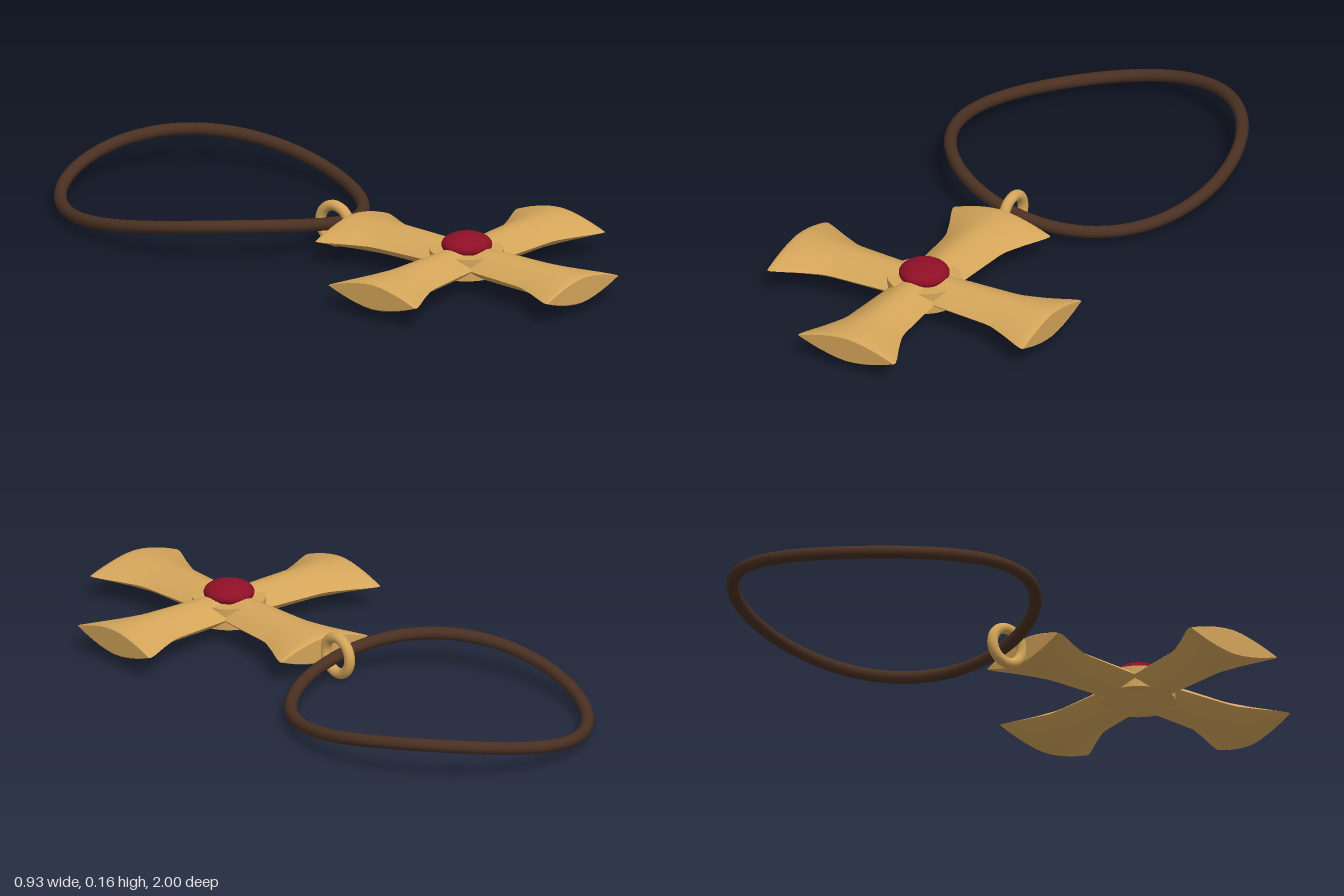
import * as THREE from 'three';
import { toCreasedNormals } from 'three/addons/utils/BufferGeometryUtils.js';

const CENTRE_Y = 0.076, CENTRE_Z = 0.53;

// Flared arm along +z, with a lens-shaped cross-section and a softened tip
function armGeometry() {
  // [distance from centre, half width, half height]
  const stations = [
    [0, 0.086, 0.048], [0.1, 0.09, 0.048], [0.2, 0.097, 0.049], [0.28, 0.103, 0.049],
    [0.31, 0.109, 0.049], [0.37, 0.135, 0.049], [0.43, 0.165, 0.048],
    [0.452, 0.174, 0.046], [0.461, 0.175, 0.043], [0.465, 0.172, 0.039],
  ];
  const sides = 32, pos = [], idx = [];
  for (const [d, w, h] of stations) {
    for (let j = 0; j < sides; j++) {
      const a = (j / sides) * Math.PI * 2, t = Math.cos(a);
      const lens = 1 - Math.pow(Math.abs(t), 1.7);
      pos.push(w * t, h * lens * Math.sign(Math.sin(a)), d);
    }
  }
  const last = stations.length - 1;
  for (let i = 0; i < last; i++) {
    for (let j = 0; j < sides; j++) {
      const k = (j + 1) % sides;
      const a = i * sides + j, b = i * sides + k;
      idx.push(a, b, b + sides, a, b + sides, a + sides);
    }
  }
  const tip = pos.length / 3;
  pos.push(0, 0, stations[last][0]);
  for (let j = 0; j < sides; j++) {
    idx.push(tip, last * sides + j, last * sides + ((j + 1) % sides));
  }
  const g = new THREE.BufferGeometry();
  g.setAttribute('position', new THREE.Float32BufferAttribute(pos, 3));
  g.setIndex(idx);
  return toCreasedNormals(g, 0.7);
}

// Closed loop that twists up and down like a saddle
class CordCurve extends THREE.Curve {
  getPoint(t, target = new THREE.Vector3()) {
    const a = t * Math.PI * 2;
    return target.set(
      0.437 * Math.cos(a),
      0.075 - 0.04 * Math.sin(2 * a),
      -0.49 + 0.49 * Math.sin(a)
    );
  }
}

export function createModel() {
  const gold = new THREE.MeshStandardMaterial({ color: 0xd4a55a });
  const red = new THREE.MeshStandardMaterial({ color: 0x8e0f25 });
  const brown = new THREE.MeshStandardMaterial({ color: 0x4a3022 });
  gold.name = 'gold';
  red.name = 'gem red';
  brown.name = 'leather brown';

  const model = new THREE.Group();
  model.name = 'crossPendant';
  const add = (parent, name, geometry, material, x = 0, y = 0, z = 0) => {
    const mesh = new THREE.Mesh(geometry, material);
    mesh.name = name;
    mesh.position.set(x, y, z);
    parent.add(mesh);
    return mesh;
  };

  // Cross: four equal arms round a hub
  const cross = new THREE.Group();
  cross.name = 'cross';
  cross.position.set(0, CENTRE_Y, CENTRE_Z);
  model.add(cross);
  const arm = armGeometry();
  ['frontArm', 'leftArm', 'backArm', 'rightArm'].forEach((name, i) => {
    add(cross, name, arm, gold).rotation.y = (i * Math.PI) / 2;
  });
  add(cross, 'hub', new THREE.CylinderGeometry(0.115, 0.115, 0.07, 40), gold);

  // Domed stone on top of the hub
  const gem = new THREE.SphereGeometry(0.079, 40, 20);
  gem.scale(1, 0.46, 1);
  add(cross, 'gem', gem, red, 0, 0.048, 0);

  // Hanging ring and cord
  add(model, 'hangingRing', new THREE.TorusGeometry(0.058, 0.017, 16, 40), gold, 0, 0.075, 0.003)
    .rotation.y = Math.PI / 2;
  add(model, 'cord', new THREE.TubeGeometry(new CordCurve(), 128, 0.02, 10, true), brown);

  return model;
}
